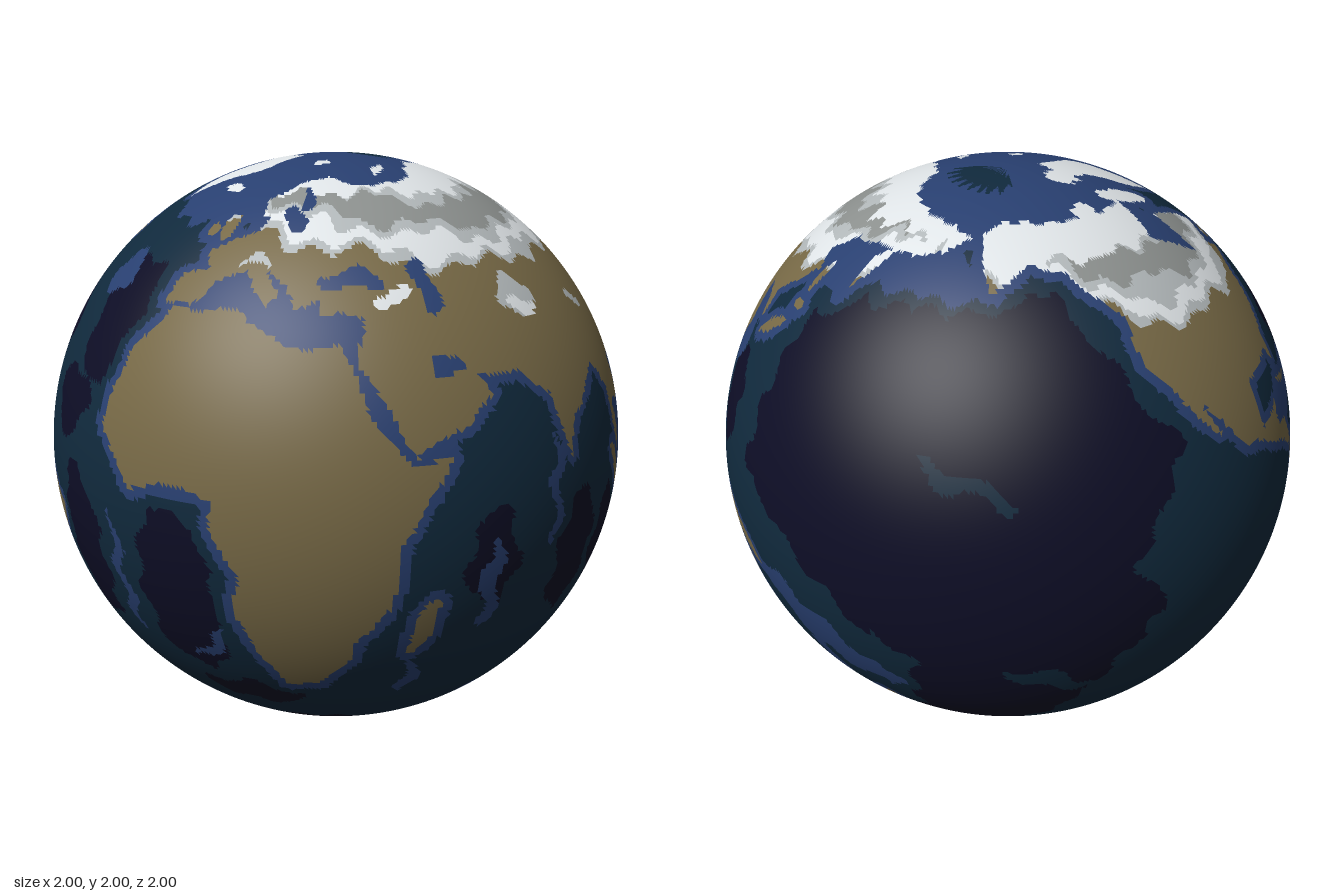
import * as THREE from 'three';

// Surface classes, from sea floor to snow
const DEEP = 0, MID = 1, SHELF = 2, LAND = 3, FROST = 4, TAIGA = 5, SNOW = 6;
const PALETTE = [
  ['deepOcean', 0x0d0d25], ['midOcean', 0x10293c], ['shelfSea', 0x283f70], ['land', 0x766845],
  ['frostedLand', 0xb2b8ba], ['northernForest', 0x8c908e], ['snow', 0xe4e9ec],
];
const MW = 720, MH = 360, DEG = Math.PI / 180; // half-degree surface map
const map = new Uint8Array(MW * MH);
const cell = (i, j) => j * MW + (i + MW) % MW;

// Give every place that passes the test a class; edges wander a little, snow stays on land
function paint(code, test) {
  const w = code === LAND ? 0.35 : 1.2;
  for (let j = 0; j < MH; j++) for (let i = 0; i < MW; i++) {
    const k = cell(i, j), x = (i + 0.5) / 2 - 180, y = (j + 0.5) / 2 - 90;
    if (code > LAND && map[k] < LAND) continue;
    if (test(x + w * Math.sin(y * 0.6 + x * 0.25), y + w * Math.sin(x * 0.5 - y * 0.15))) map[k] = code;
  }
}

// Outline of longitude, latitude pairs
function outline(code, p) {
  const inside = (x, y) => {
    let hit = false;
    for (let i = 0, k = p.length - 2; i < p.length; k = i, i += 2) {
      if ((p[i + 1] > y) !== (p[k + 1] > y) &&
        x < (p[k] - p[i]) * (y - p[i + 1]) / (p[k + 1] - p[i + 1]) + p[i]) hit = !hit;
    }
    return hit;
  };
  paint(code, (x, y) => inside(x, y) || inside(x + 360, y));
}

// Ellipses on the sphere: longitude, latitude, two radii in degrees, tilt
function patches(code, list) {
  for (const [lon, lat, rx, ry, tilt = 0] of list) {
    const s0 = Math.sin(lat * DEG), c0 = Math.cos(lat * DEG);
    const st = Math.sin(tilt * DEG), ct = Math.cos(tilt * DEG);
    paint(code, (x, y) => {
      const d = (x - lon) * DEG, s = Math.sin(y * DEG), c = Math.cos(y * DEG);
      if (s0 * s + c0 * c * Math.cos(d) < 0) return false;
      const u = c * Math.sin(d) / DEG, v = (c0 * s - s0 * c * Math.cos(d)) / DEG;
      return Math.hypot((u * ct + v * st) / rx, (v * ct - u * st) / ry) < 1;
    });
  }
}

// Raise the sea floor within a radius in degrees of every coast
function fringe(radius, code) {
  for (let j = 1; j < MH - 1; j++) for (let i = 0; i < MW; i++) {
    if (map[cell(i, j)] < LAND) continue;
    if ([cell(i + 1, j), cell(i - 1, j), cell(i, j + 1), cell(i, j - 1)].every(k => map[k] >= LAND)) continue;
    const r = Math.round(radius * 2), c = Math.cos(((j + 0.5) / 2 - 90) * DEG);
    const rx = Math.min(MW / 2, Math.ceil(r / c));
    for (let b = -r; b <= r; b++) for (let a = -rx; a <= rx; a++) {
      if (j + b < 0 || j + b >= MH || b * b + a * a * c * c > r * r) continue;
      const k = cell(i + a, j + b);
      if (map[k] < code) map[k] = code;
    }
  }
}

function paintSea() {
  map.fill(MID);
  // Pacific basin, then the smaller basins
  outline(DEEP, [150,43, 165,50, 200,52, 218,56, 234,33, 240,24, 228,8, 234,-4, 215,-35, 198,-58, 183,-48, 188,-15, 160,4, 147,12]);
  patches(DEEP, [
    [-58,27,11,11], [-22,32,8,13], [-31,15,8,6], [-25,-12,7,16], [1,-15,8,18], [-40,-41,12,5],
    [12,-40,10,4], [5,-60,18,5], [81,-11,6,13], [101,-11,11,13], [59,-7,5,9],
    [124,-40,12,4], [115,-57,18,4], [132,19,6,9], [235,-62,20,6],
  ]);
  // Seamount chains
  patches(MID, [[197,23,9,1.5,-20], [214,-19,9,2,-25]]);
  // Ocean ridges, plateaus and shallow seas
  patches(SHELF, [
    [-31,41,4,6], [-13,-15,1.3,13], [6,-25,7,1,55], [-60,-48,6,5], [-45,-57,9,3],
    [73,3,1.3,11], [59,-12,2,8], [46,-32,1.5,6], [74,-52,3,6], [118,0,14,9], [110,10,7,12],
    [124,31,4,8], [166,-17,18,5,-30], [163,-32,3,12], [174,-42,5,9], [-78,20,13,5],
    [18,37,20,6], [180,58,13,5], [150,54,8,6], [-85,59,6,7], [-10,62,14,8],
  ]);
  // Arctic
  paint(SHELF, (x, y) => y > 67);
  patches(MID, [[153,84,7,4]]);
}

function paintLand() {
  // Eurasia with its inland seas
  outline(LAND, [-9,37, -9,43, -1,44, -4,48, 8,54, 9,57, 6,58, 5,62, 14,68, 26,71, 41,67, 68,69, 80,73, 104,77, 140,72, 180,69, 190,66, 178,62, 163,60, 157,51, 156,58, 162,61, 142,59, 135,54, 140,50, 128,41, 129,35, 125,38, 118,39, 122,31, 117,23, 107,20, 109,12, 100,13, 103,2, 98,8, 97,17, 91,22, 80,15, 77.5,8, 73,20, 66,25, 57,25.5, 60,22, 54,17, 44,13, 35,28, 36,36, 27,37, 27,40, 22,37, 19,42, 14,45, 18,40, 16,38, 9,44, 3,43, -2,37]);
  patches(SHELF, [[18.5,57,2.5,2.5], [20,63,1.2,3], [34,43.3,5,1.8], [51,42,1.9,4.7], [51,27.5,4,1.2,-40]]);
  // Africa
  outline(LAND, [-6,36, 10,37, 20,31, 32,31, 37,19, 43,11.5, 51,12, 42,-1, 40,-15, 35,-20, 33,-26, 27,-34, 20,-35, 12,-17, 13.5,-9, 9,0, 9,4.5, 4,6.3, -8,4.4, -17,14, -13,28]);
  // North and South America
  outline(LAND, [-166,68, -156,71, -128,70, -82,69, -94,60, -80,52, -77,62, -66,59, -56,53, -66,49, -61,46, -70,43, -76,36, -81,31, -80,25.5, -84,30, -97,28, -96,19, -88,21, -88,16, -83.5,15, -80,8, -95,16, -105,20, -113,31, -110,23, -124,40, -124,48, -135,58, -147,61, -160,55]);
  outline(LAND, [-79,8, -72,12, -61,10, -50,0, -35,-6, -39,-14, -41,-22, -48,-27, -58,-37, -65,-42, -66,-54.5, -74,-50, -71,-20, -76,-14, -81,-5]);
  // Greenland and Australia
  outline(LAND, [-60,82, -32,83.5, -20,74, -40,65, -44,60, -54,67, -58,76, -72,78]);
  outline(LAND, [114,-23, 115,-34, 123,-34, 131,-31.5, 139,-35.5, 146,-39, 150,-37, 153,-28, 146,-19, 142.5,-11, 140,-17.5, 136,-12, 131,-12, 122,-18]);
  // Islands of the north and the Atlantic
  patches(LAND, [
    [-74,68.5,6,2,-48], [-110,71,2.3,2], [-77,80,3,3], [-19,65,2.6,1.2], [-2.5,54,1.4,3.8],
    [-8,53.3,1.2,1.6], [18,78.5,1.5,1.5], [59,74,3.5,0.8,55], [-56,49,1.8,1.5], [-79,21.8,4.5,0.7,-15],
  ]);
  // Islands of Asia and the Pacific
  patches(LAND, [
    [137,36.5,5.5,1.1,40], [143,43.3,1.6,1.2], [143,50,0.8,3.8], [121.3,16,1,2.7], [125,8,1.3,2],
    [114,1,3.8,4.3], [100.5,0,7.5,1.5,-48], [110.5,-7.3,5,0.7], [121,-2,1.2,3], [140.5,-5.5,9.5,2.3,-22],
    [146.7,-42,1.5,1.4], [175.7,-38.5,1.3,3], [170,-44,3.3,1.2,45], [46.7,-19,1.8,6.5,-15],
  ]);
  // Antarctica with its peninsula and great bay
  paint(LAND, (x, y) => y < -71 + 4.5 * Math.sin((x - 20) * DEG));
  patches(LAND, [[-63,-69,2,5]]);
  patches(SHELF, [[185,-72,6,6]]);
  fringe(4.2, MID);
  fringe(2, SHELF);
}

// Winter cover in belts north of a curved frost line
function paintWinter() {
  const wander = (x, y) => Math.sin(x * 0.23 + y * 0.3) + Math.sin(x * 0.11 - y * 0.5);
  const north = (x, y) => y + wander(x, y) -
    (x < -30 ? Math.min(56, 43 + ((x + 95) / 30) ** 2 * 5) : 45 + ((x - 80) / 60) ** 2 * 6);
  const belts = [[FROST, 0], [SNOW, 2], [FROST, 6], [TAIGA, 9], [FROST, 16], [SNOW, 19]];
  for (const [code, start] of belts) paint(code, (x, y) => north(x, y) > start);
  paint(SNOW, (x, y) => y + wander(x, y) > (x < -30 ? 61 : 65) || y < -60);
  // Greenland, Iceland and mountain ranges
  paint(SNOW, (x, y) => y > 58 && x > -60 && x < -12);
  patches(FROST, [[10,46.5,3,1], [74,38,4,4], [99,34,3,1]]);
  patches(SNOW, [[43,40,2.5,1.5], [75,36,3,1.5]]);
}

export function createModel() {
  const group = new THREE.Group();
  group.name = 'globe';
  paintSea();
  paintLand();
  paintWinter();

  // Shared sphere vertices
  const W = 384, H = 192, pos = [], nor = [];
  for (let j = 0; j <= H; j++) for (let i = 0; i <= W; i++) {
    const a = (i / W * 2 - 1) * Math.PI, b = (j / H - 0.5) * Math.PI;
    const x = Math.cos(b) * Math.sin(a), y = Math.sin(b), z = Math.cos(b) * Math.cos(a);
    pos.push(x, y + 1, z);
    nor.push(x, y, z);
  }
  const position = new THREE.Float32BufferAttribute(pos, 3);
  const normal = new THREE.Float32BufferAttribute(nor, 3);

  // Sort triangles by surface class, turning diagonals to follow the coasts
  const classAt = (i, j) => map[cell(Math.floor(i / W * MW), Math.min(MH - 1, Math.floor(j / H * MH)))];
  const faces = PALETTE.map(() => []);
  const tri = (...c) => {
    if ([0, H].some(pole => c.filter(v => v[1] === pole).length > 1)) return;
    const ci = (c[0][0] + c[1][0] + c[2][0]) / 3, cj = (c[0][1] + c[1][1] + c[2][1]) / 3;
    faces[classAt(ci, cj)].push(...c.map(v => v[1] * (W + 1) + v[0]));
  };
  for (let j = 0; j < H; j++) for (let i = 0; i < W; i++) {
    const a = [i, j], b = [i + 1, j], c = [i + 1, j + 1], d = [i, j + 1];
    if (classAt(...a) !== classAt(...c)) { tri(a, b, d); tri(b, c, d); }
    else { tri(a, b, c); tri(a, c, d); }
  }

  // One surface mesh per colour
  PALETTE.forEach(([name, color], n) => {
    const geometry = new THREE.BufferGeometry();
    geometry.setAttribute('position', position);
    geometry.setAttribute('normal', normal);
    geometry.setIndex(faces[n]);
    const material = new THREE.MeshStandardMaterial({ color });
    material.name = name;
    const mesh = new THREE.Mesh(geometry, material);
    mesh.name = name;
    group.add(mesh);
  });
  return group;
}
